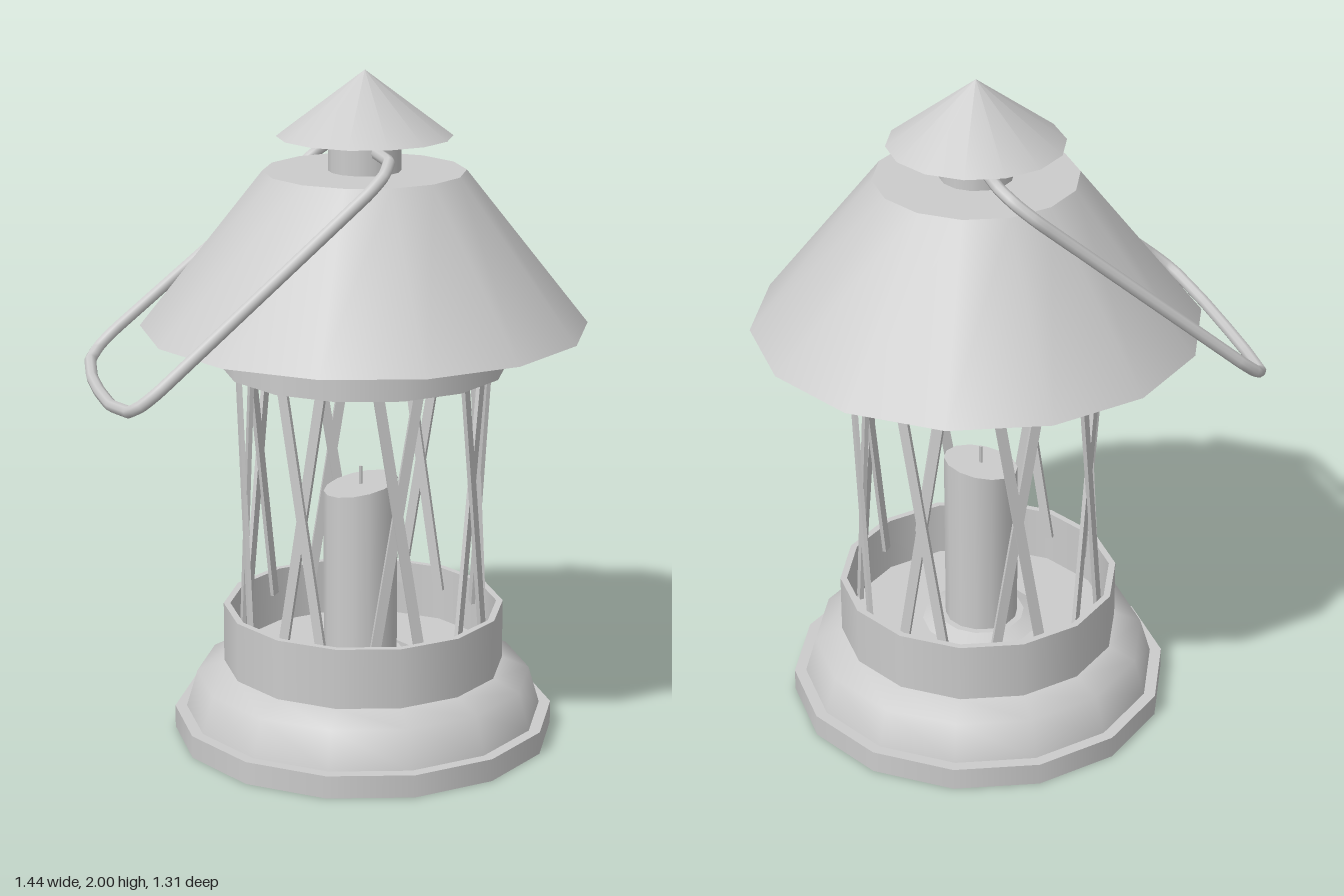
import * as THREE from 'three';

const SIDES = 14;
const AXIS_X = 0.08; // the lantern body sits off centre because of the handle

export function createModel() {
  const model = new THREE.Group();
  model.name = 'lantern';
  const mat = new THREE.MeshStandardMaterial({ color: 0xcccccc });
  const open = new THREE.MeshStandardMaterial({ color: 0xcccccc, side: THREE.DoubleSide });

  const body = new THREE.Group();
  body.name = 'body';
  body.position.x = AXIS_X;
  model.add(body);

  function add(parent, name, geometry, material = mat) {
    const mesh = new THREE.Mesh(geometry, material);
    mesh.name = name;
    parent.add(mesh);
    return mesh;
  }

  // Solid tapered drum between two heights
  function drum(name, r0, r1, y0, y1) {
    const mesh = add(body, name, new THREE.CylinderGeometry(r1, r0, y1 - y0, SIDES));
    mesh.position.y = (y0 + y1) / 2;
    mesh.rotation.y = 0.02;
    return mesh;
  }

  // Turned surface; doubled profile points keep an edge sharp
  function turned(name, profile, material = open) {
    const points = profile.map(([r, y]) => new THREE.Vector2(r, y));
    const mesh = add(body, name, new THREE.LatheGeometry(points, SIDES), material);
    mesh.rotation.y = 0.02;
    return mesh;
  }

  // Base
  drum('basePlate', 0.57, 0.57, 0, 0.068);
  turned('baseShoulder', [[0.535, 0.068], [0.502, 0.18], [0.42, 0.214]]);

  // Lower cup with a thin wall and a floor
  turned('lowerRing', [
    [0.42, 0.21], [0.42, 0.395], [0.42, 0.395], [0.40, 0.395],
    [0.40, 0.395], [0.40, 0.225], [0.40, 0.225], [0, 0.225],
  ]);

  // Upper ring, open below
  turned('upperRing', [
    [0.40, 1.255], [0.40, 1.13], [0.40, 1.13], [0.42, 1.13],
    [0.42, 1.13], [0.42, 1.26],
  ]);

  // Roof, chimney and cap
  drum('roof', 0.655, 0.295, 1.255, 1.71);
  drum('chimney', 0.106, 0.106, 1.71, 1.815);
  drum('chimneyCap', 0.255, 0, 1.81, 2.0);

  // Cage of crossed flat bars, each pair lying in a tangent plane
  const cage = new THREE.Group();
  cage.name = 'cage';
  body.add(cage);
  const barGeometry = new THREE.BoxGeometry(0.03, 0.87, 0.012);
  const PAIRS = 8;
  for (let i = 0; i < PAIRS; i++) {
    const pair = new THREE.Group();
    pair.name = 'barPair';
    pair.rotation.y = (i / PAIRS) * Math.PI * 2 + 0.03;
    cage.add(pair);
    for (const s of [-1, 1]) {
      const bar = add(pair, 'cageBar', barGeometry);
      bar.position.set(0, 0.765, 0.36 + s * 0.005);
      bar.rotation.z = s * 0.163;
    }
  }

  // Candle with a slanted top
  const candleGeometry = new THREE.CylinderGeometry(0.11, 0.11, 0.545, SIDES);
  const pos = candleGeometry.attributes.position;
  for (let i = 0; i < pos.count; i++) {
    if (pos.getY(i) > 0) pos.setY(i, pos.getY(i) + pos.getX(i) * 0.2);
  }
  const candle = add(body, 'candle', candleGeometry);
  candle.position.set(-0.012, 0.4975, 0.01);
  const wick = add(body, 'wick', new THREE.CylinderGeometry(0.005, 0.005, 0.07, 6));
  wick.position.set(-0.012, 0.79, 0.01);
  const wax = add(body, 'waxPool', new THREE.CylinderGeometry(0.13, 0.18, 0.02, SIDES));
  wax.position.set(-0.012, 0.235, 0.01);

  // Carrying handle, a flat bent loop leaning to one side
  const path = [
    [0.09, -0.09], [0.09, -0.24], [0.06, -0.305], [0.0, -0.335],
    [-0.59, -0.365], [-0.65, -0.35], [-0.685, -0.3],
    [-0.702, -0.15], [-0.704, 0], [-0.698, 0.18],
    [-0.672, 0.34], [-0.645, 0.375], [-0.59, 0.388],
    [0.0, 0.335], [0.06, 0.305], [0.09, 0.24], [0.09, 0.09],
  ].map(([x, z]) => new THREE.Vector3(x, 1.775 + (x - 0.09) * 0.85, z));
  const curve = new THREE.CatmullRomCurve3(path, false, 'catmullrom', 0.1);
  add(model, 'handle', new THREE.TubeGeometry(curve, 120, 0.018, 8));

  return model;
}
